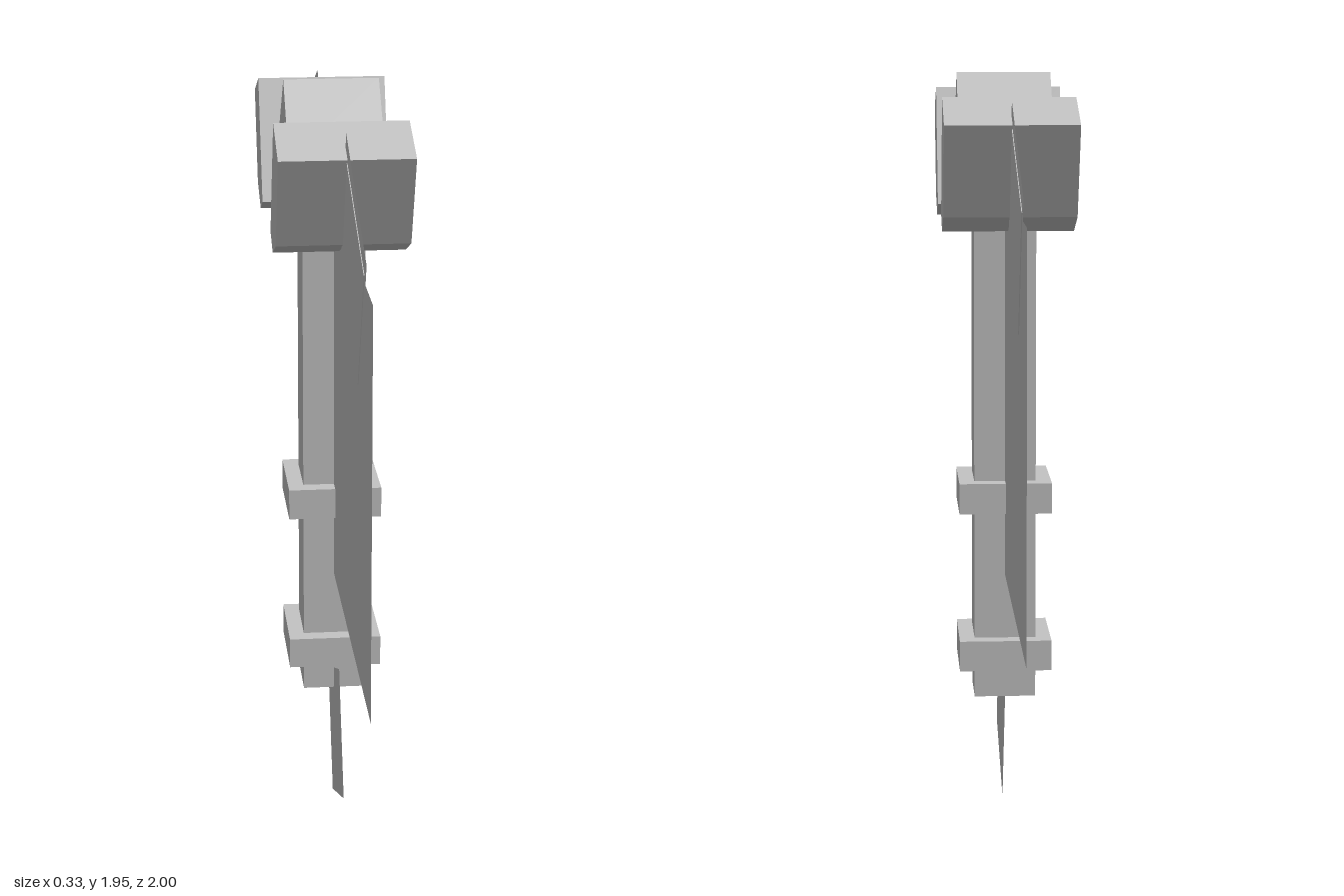
import * as THREE from 'three';

export function createModel() {
  const model = new THREE.Group();
  model.name = 'wingedHammer';
  const gray = new THREE.MeshStandardMaterial({ color: 0xc4c4c4, side: THREE.DoubleSide });
  gray.name = 'stone gray';
  const TILT = Math.PI / 8;

  function add(name, geometry, y, z = 0, tilt = 0) {
    const mesh = new THREE.Mesh(geometry, gray);
    mesh.name = name;
    mesh.position.set(0, y, z);
    mesh.rotation.x = tilt;
    model.add(mesh);
    return mesh;
  }
  const box = (w, h, d) => new THREE.BoxGeometry(w, h, d);
  // Flat sheet lying in the plane x = 0
  const sheet = (h, d) => new THREE.PlaneGeometry(d, h).rotateY(-Math.PI / 2);

  // Shaft and its collars
  add('shaft', box(0.16, 1.4, 0.16), 1.02);
  add('lowerCollar', box(0.24, 0.08, 0.24), 0.44);
  add('upperCollar', box(0.24, 0.08, 0.24), 0.86);

  // Crossbar with a diamond block in the middle
  add('crossbar', box(0.16, 0.165, 0.32), 1.775);
  add('centreBlock', box(0.24, 0.2475, 0.2475), 1.775, 0, Math.PI / 4);

  // Chamfered head profile, as [z, y]
  const profile = [[0.275, 1.9], [0.427, 1.84], [0.335, 1.61], [0.225, 1.565], [0.15, 1.6]];

  for (const side of [1, -1]) {
    const label = side > 0 ? 'front' : 'back';
    add(label + 'Arm', box(0.16, 0.16, 0.2), 1.743, side * 0.222, side * TILT);

    const shape = new THREE.Shape(profile.map(([z, y]) => new THREE.Vector2(side * z, y)));
    const head = new THREE.ExtrudeGeometry(shape, { depth: 0.33, bevelEnabled: false });
    head.translate(0, 0, -0.165).rotateY(-Math.PI / 2);
    add(label + 'Head', head, 0);

    // Tilted vane with a slightly raised middle
    add(label + 'Vane', sheet(0.4, 0.51), 1.615, side * 0.55, side * TILT);
    add(label + 'VanePanel', box(0.004, 0.32, 0.45), 1.606, side * 0.55, side * TILT);
  }

  // Broad flat banner and the small pennant at the foot
  add('banner', sheet(1, 2), 1.15);
  add('pennant', sheet(0.336, 0.336), 0.22, 0.14, -TILT);

  return model;
}
